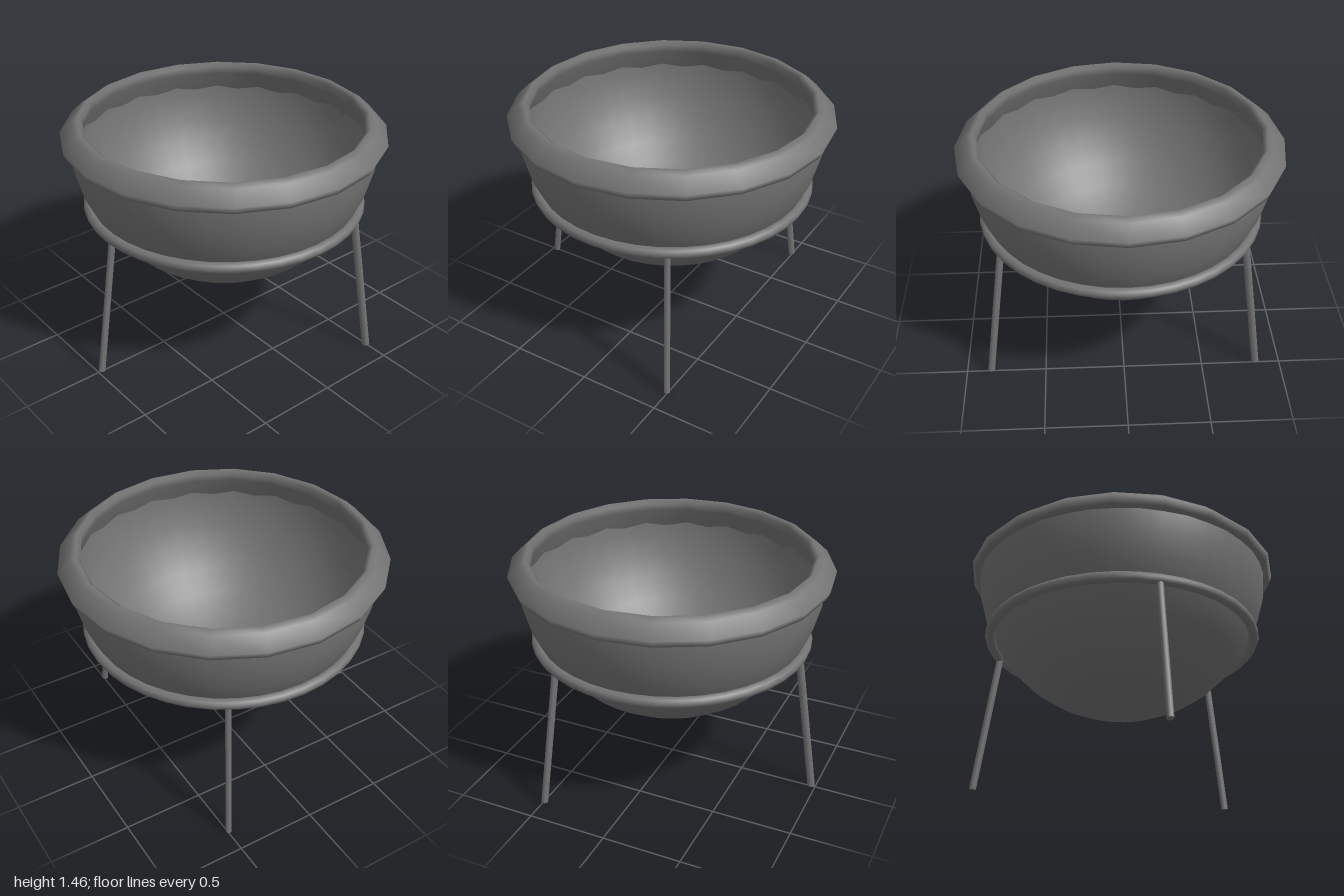
import * as THREE from 'three';

const material = new THREE.MeshStandardMaterial({ color: 0x747474 });
const openMaterial = new THREE.MeshStandardMaterial({ color: 0x747474, side: THREE.DoubleSide });

function part(name, geometry, mat = material) {
  const mesh = new THREE.Mesh(geometry, mat);
  mesh.name = name;
  return mesh;
}

// Open lower half of a sphere
function halfShell(name, radius) {
  const geometry = new THREE.SphereGeometry(radius, 40, 9, 0, Math.PI * 2, Math.PI / 2, Math.PI / 2);
  const mesh = part(name, geometry, openMaterial);
  mesh.position.y = 1.37;
  return mesh;
}

// Slim six-sided leg, splayed outward in the direction of the given angle
function leg(name, angle) {
  const foot = new THREE.Vector3(0, 0.004, 0.978);
  const top = new THREE.Vector3(0, 0.91, 0.84);
  const axis = top.clone().sub(foot);
  const geometry = new THREE.CylinderGeometry(0.025, 0.025, axis.length(), 6).scale(0.82, 1, 1);
  const mesh = part(name, geometry);
  mesh.position.lerpVectors(foot, top, 0.5);
  mesh.quaternion.setFromUnitVectors(new THREE.Vector3(0, 1, 0), axis.normalize());
  const pivot = new THREE.Group();
  pivot.rotation.y = angle;
  pivot.add(mesh);
  return pivot;
}

export function createModel() {
  const model = new THREE.Group();
  model.name = 'bowlOnStand';

  // Thin-walled hemispherical bowl
  const bowl = new THREE.Group();
  bowl.name = 'bowl';
  bowl.add(halfShell('bowlOutside', 0.94), halfShell('bowlInside', 0.915));

  // Faceted rim: sloping top, and a lip that runs down into the bowl
  const rimProfile = [
    [0.925, 1.313], [0.972, 1.325], [0.992, 1.37], [0.915, 1.442],
    [0.88, 1.463], [0.853, 1.44], [0.86, 1.39], [0.92, 1.25],
  ].map(([r, y]) => new THREE.Vector2(r, y));
  const rim = part('rim', new THREE.LatheGeometry(rimProfile, 20), openMaterial);

  // Support ring around the bowl
  const ring = part('supportRing', new THREE.TorusGeometry(0.845, 0.034, 8, 40));
  ring.rotation.x = Math.PI / 2;
  ring.position.y = 0.91;

  // Three splayed legs
  const legs = new THREE.Group();
  legs.name = 'legs';
  ['leftFrontLeg', 'leftBackLeg', 'rightLeg'].forEach((name, i) => {
    legs.add(leg(name, Math.PI / 6 + i * Math.PI * 2 / 3));
  });

  model.add(bowl, rim, ring, legs);
  model.children.forEach((child) => { child.position.x = 0.004; });
  return model;
}
